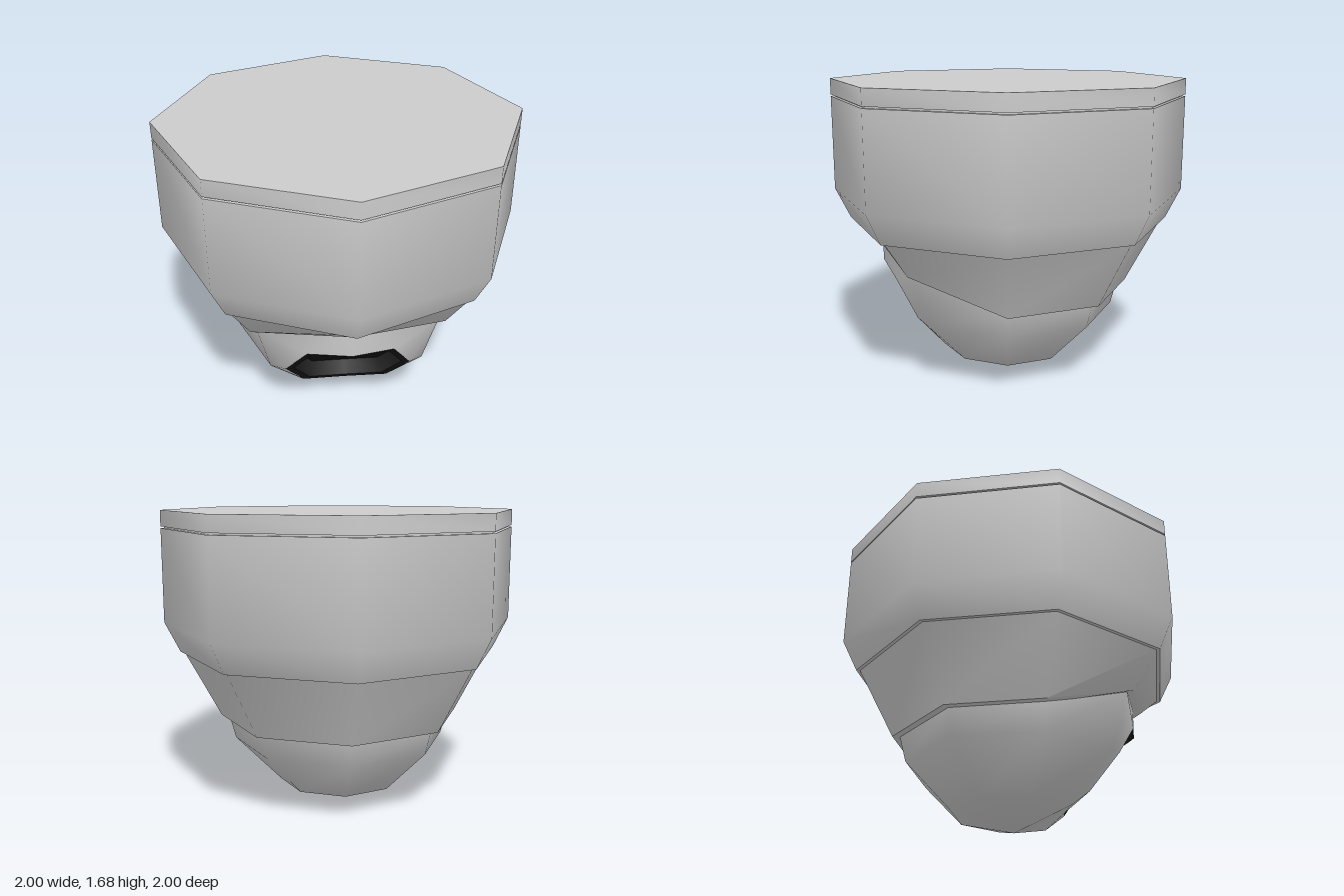
import * as THREE from 'three';
import { toCreasedNormals } from 'three/addons/utils/BufferGeometryUtils.js';

const V = (x, y, z) => new THREE.Vector3(x, y, z);
const SIDES = 8;
// point on column k of the octagon; column 0 faces the front
const onColumn = (k, r, y) =>
  V(r * Math.sin(k * Math.PI / 4), y, r * Math.cos(k * Math.PI / 4));

function mesh(name, geometry, color = 0xcccccc) {
  const m = new THREE.Mesh(toCreasedNormals(geometry, 0.9),
    new THREE.MeshStandardMaterial({ color, side: THREE.DoubleSide }));
  m.name = name;
  return m;
}

function fromTriangles(tris) {
  const g = new THREE.BufferGeometry();
  g.setFromPoints(tris.flat());
  return g;
}

// triangles joining neighbouring columns of points, listed bottom to top
function joinColumns(a, b) {
  const tris = [];
  for (let j = 0; j < a.length - 1; j++) {
    tris.push([a[j], b[j], b[j + 1]], [a[j], b[j + 1], a[j + 1]]);
  }
  return tris;
}

const lathe = (pts) => new THREE.LatheGeometry(pts.map(([r, y]) => new THREE.Vector2(r, y)), SIDES);

export function createModel() {
  const group = new THREE.Group();

  // Mounting plate, shadow gap and main housing
  group.add(mesh('mountingPlate', lathe([[0, 1.59], [1, 1.59], [1, 1.68], [0, 1.68]])));
  group.add(mesh('shadowGap', lathe([[0.98, 1.57], [0.98, 1.6]])));
  group.add(mesh('housing', lathe([[0.8, 0.88], [0.915, 0.88], [1, 1.05], [1, 1.58], [0.9, 1.58]])));

  // Collar: lower edge rises towards the front to clear the lens
  const edge = (k) => {
    const d = Math.min(k, SIDES - k);
    return d === 0 ? [0.79, 0.795] : d === 1 ? [0.75, 0.675] : [0.69, 0.5];
  };
  const collarColumn = (k) => {
    const [r, y] = edge(k % SIDES);
    return [onColumn(k, r - 0.06, y), onColumn(k, r, y), onColumn(k, 0.897, 0.885)];
  };
  const collar = [];
  for (let k = 0; k < SIDES; k++) collar.push(...joinColumns(collarColumn(k), collarColumn(k + 1)));
  group.add(mesh('collar', fromTriangles(collar)));

  // Rounded eye: plain columns around the sides and back
  const eyeColumn = (k) => {
    const nearFront = k === 1 || k === 7;
    return [V(0, 0, 0), onColumn(k, 0.35, 0.1), onColumn(k, 0.61, 0.36),
      nearFront ? onColumn(k, 0.71, 0.68) : onColumn(k, 0.65, 0.51)];
  };
  const eye = [];
  for (let k = 1; k < 7; k++) eye.push(...joinColumns(eyeColumn(k), eyeColumn(k + 1)));

  // Front of the eye: brow and cheeks around the tilted opening, mirrored
  const rim = [V(0, 0.625, 0.73), V(0.235, 0.585, 0.635), V(0.35, 0.385, 0.5),
    V(0.24, 0.19, 0.36), V(0, 0.135, 0.29)];
  const [base, a1, a2, a3] = eyeColumn(1);
  const brow = V(0, 0.795, 0.735);
  const cheek = [
    [base, a1, rim[4]], [a1, rim[3], rim[4]], [a1, a2, rim[3]], [a2, rim[2], rim[3]],
    [a2, a3, rim[2]], [a3, rim[1], rim[2]], [a3, brow, rim[1]], [brow, rim[0], rim[1]],
  ];
  const flip = (p) => V(-p.x, p.y, p.z);
  eye.push(...cheek, ...cheek.map(([a, b, c]) => [flip(a), flip(c), flip(b)]));
  group.add(mesh('eyeShell', fromTriangles(eye)));

  // Lens: flat rim, recessed wall and glass
  const loop = [...rim, ...rim.slice(1, 4).reverse().map(flip)];
  const centre = V(0, 0.38, 0.51);
  const inward = V(0, 0.68, -0.73);
  const ring = (scale, depth) => loop.map((p) =>
    p.clone().sub(centre).multiplyScalar(scale).add(centre).addScaledVector(inward, depth));
  const band = (outer, inner) => outer.flatMap((p, i) => {
    const n = (i + 1) % SIDES;
    return [[p, inner[n], outer[n]], [p, inner[i], inner[n]]];
  });
  const inner = ring(0.87, 0.005);
  const back = ring(0.8, 0.09);
  const hub = centre.clone().addScaledVector(inward, 0.09);
  group.add(mesh('lensRim', fromTriangles(band(loop, inner)), 0x161616));
  group.add(mesh('lensWall', fromTriangles(band(inner, back)), 0x222222));
  group.add(mesh('lensGlass',
    fromTriangles(back.map((p, i) => [hub, back[(i + 1) % SIDES], p])), 0x111111));

  return group;
}
